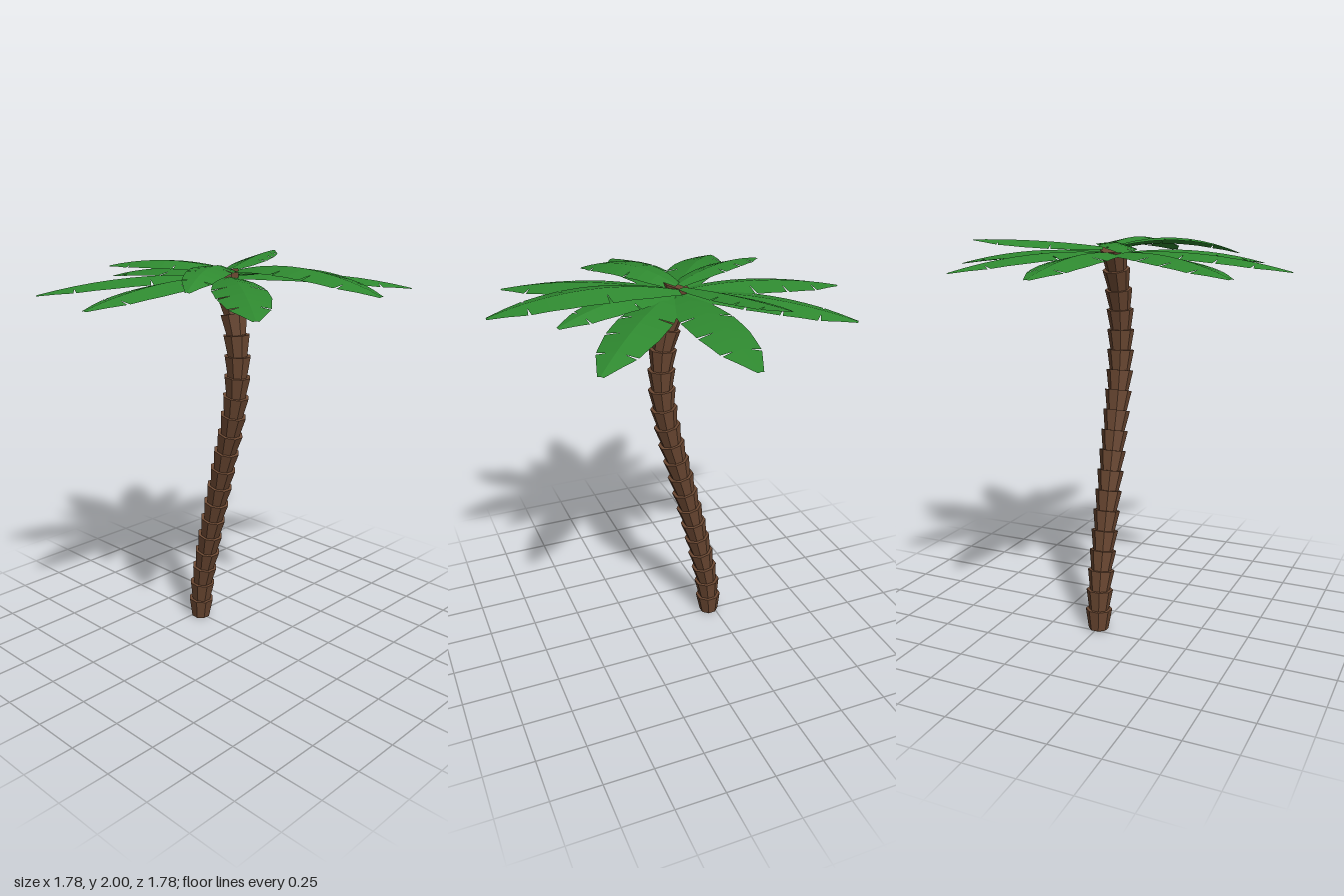
import * as THREE from 'three';

const brown = new THREE.MeshStandardMaterial({ color: 0x6b4832, flatShading: true });
brown.name = 'bark brown';
const green = new THREE.MeshStandardMaterial({ color: 0x2f8a30, flatShading: true, side: THREE.DoubleSide });
green.name = 'leaf green';

// Piecewise linear lookup in a list of [key, value] pairs
function lookup(list, t) {
  let i = 1;
  while (i < list.length - 1 && t > list[i][0]) i++;
  const [a, b] = [list[i - 1], list[i]];
  return THREE.MathUtils.lerp(a[1], b[1], (t - a[0]) / (b[0] - a[0]));
}

const OUTLINE = [[0, 0.05], [0.18, 0.098], [0.4, 0.127], [0.6, 0.122], [0.8, 0.093], [1, 0.014]];
const NOTCHES = { left: [0.4, 0.8], right: [0.4, 0.6, 0.8] };

// A frond from base [x, z] to tip [x, z], arching through heights [start, control, end]
function makeFrond(base, tip, heights, wide, roll) {
  const dx = tip[0] - base[0], dz = tip[1] - base[1], length = Math.hypot(dx, dz);
  const rows = [0, 0.09, 0.18, 0.29];
  for (const n of [0.4, 0.6, 0.8]) rows.push(n - 0.008, n, n + 0.008);
  rows.push(0.5, 0.7, 0.9, 1);
  rows.sort((a, b) => a - b);
  const columns = [-1, -0.4, 0, 0.4, 1];
  const pos = [], index = [];
  rows.forEach((t, i) => {
    const s = 1 - t;
    const y = heights[0] * s * s + 2 * heights[1] * s * t + heights[2] * t * t;
    const w = lookup(OUTLINE, t) * wide;
    columns.forEach((c, j) => {
      // a torn notch pulls the edge in towards the midrib
      const torn = Math.abs(c) === 1 && NOTCHES[c < 0 ? 'left' : 'right'].includes(t);
      const k = torn ? c * 0.42 : c;
      const side = k * w;
      pos.push(t * length, y - Math.abs(side) * 0.22 + side * roll, side);
      if (i && j) {
        const q = i * 5 + j, p = q - 5;
        index.push(p - 1, p, q - 1, p, q, q - 1);
      }
    });
  });
  const geo = new THREE.BufferGeometry();
  geo.setAttribute('position', new THREE.Float32BufferAttribute(pos, 3));
  geo.setIndex(index);
  geo.computeVertexNormals();
  const mesh = new THREE.Mesh(geo, green);
  mesh.position.set(base[0], 0, base[1]);
  mesh.rotation.y = Math.atan2(-dz, dx);
  return mesh;
}

export function createModel() {
  const model = new THREE.Group();
  model.name = 'palmTree';

  // Curved trunk of stacked, flared segments
  const trunk = new THREE.Group();
  trunk.name = 'trunk';
  const bend = new THREE.CatmullRomCurve3([
    [0, -0.22], [0.2, -0.205], [0.4, -0.165], [0.6, -0.12], [0.8, -0.07], [1, -0.02], [1.2, 0.03],
    [1.4, 0.06], [1.6, 0.06], [1.72, 0.04], [1.83, 0.01], [1.94, -0.02],
  ].map(([y, z]) => new THREE.Vector3(-0.005, y, z)));
  const count = 19;
  const up = new THREE.Vector3(0, 1, 0);
  for (let i = 0; i < count; i++) {
    const a = bend.getPointAt(i / count), b = bend.getPointAt((i + 1) / count);
    const dir = b.clone().sub(a);
    const geo = new THREE.CylinderGeometry(0.069, 0.051, dir.length() + 0.004, 8);
    geo.rotateY(Math.PI / 8);
    const segment = new THREE.Mesh(geo, brown);
    segment.name = 'trunkSegment';
    segment.position.copy(a).add(b).multiplyScalar(0.5);
    segment.quaternion.setFromUnitVectors(up, dir.normalize());
    trunk.add(segment);
  }
  model.add(trunk);

  const crown = new THREE.Group();
  crown.name = 'crown';

  // Long drooping fronds
  const low = [1.92, 1.96, 1.85];
  const longTips = [[0.89, -0.01], [0.52, -0.69], [0, -0.89], [-0.76, -0.53], [-0.89, 0.01], [-0.57, 0.7], [0.7, 0.59]];
  for (const tip of longTips) {
    const r = Math.hypot(...tip);
    const frond = makeFrond([tip[0] / r * 0.03, tip[1] / r * 0.03], tip, low, 1, 0);
    frond.name = 'longFrond';
    crown.add(frond);
  }

  // Raised front frond
  const front = makeFrond([0.06, 0], [0.01, 0.89], [1.945, 2.05, 1.905], 1.08, 0);
  front.name = 'frontFrond';
  crown.add(front);

  // Short upper fronds
  const shortFronds = [
    [[0.05, -0.03], [0.64, -0.28], [1.95, 1.99, 1.985], 0.12],
    [[0, -0.02], [-0.28, -0.57], [1.95, 2.02, 1.95], 0.12],
    [[0.01, -0.01], [-0.55, 0.285], [1.95, 2.05, 1.92], 0.12],
    [[0.05, 0.03], [0.24, 0.63], [1.93, 2.0, 1.9], 0.12],
  ];
  for (const [base, tip, heights, roll] of shortFronds) {
    const frond = makeFrond(base, tip, heights, 0.74, roll);
    frond.name = 'shortFrond';
    crown.add(frond);
  }
  model.add(crown);
  return model;
}
